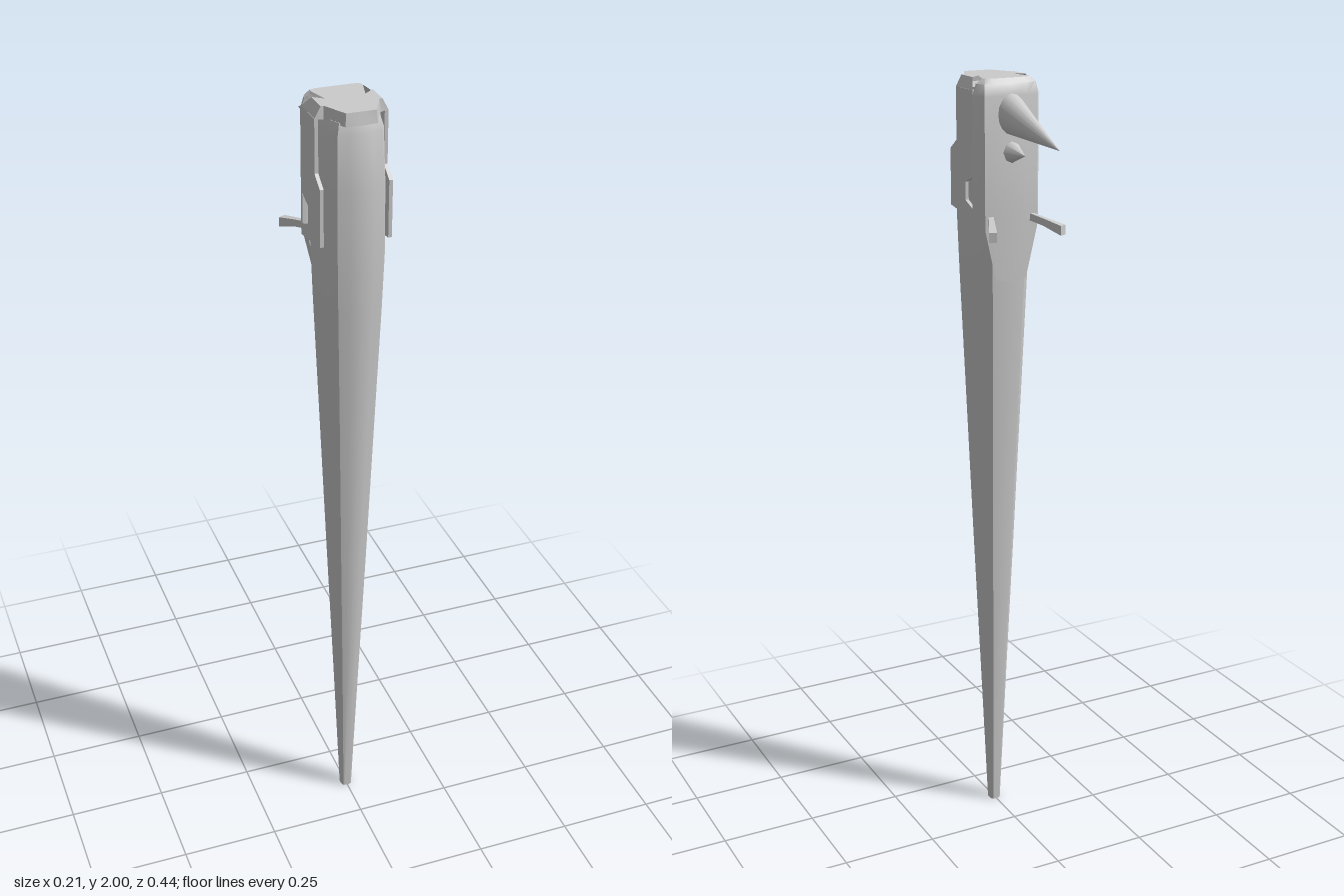
import * as THREE from 'three';
import { toCreasedNormals } from 'three/addons/utils/BufferGeometryUtils.js';

const material = new THREE.MeshStandardMaterial({ color: 0xcccccc, side: THREE.DoubleSide });

// Skin a surface over rows of [x, y, z] points
function loft(rows, closed = false, crease = 0.6) {
  const n = rows[0].length, index = [];
  const geo = new THREE.BufferGeometry();
  geo.setAttribute('position', new THREE.Float32BufferAttribute(rows.flat(2), 3));
  for (let i = 0; i < rows.length - 1; i++) {
    for (let j = 0; j < (closed ? n : n - 1); j++) {
      const k = (j + 1) % n, a = i * n + j, b = i * n + k;
      index.push(a, b, b + n, a, b + n, a + n);
    }
  }
  geo.setIndex(index);
  return toCreasedNormals(geo, crease);
}

// Complete a half row that starts on +x and ends on the centre line
const mirrorRow = (half) => [...half, ...half.slice(0, -1).reverse().map(([x, ...r]) => [-x, ...r])];

// Cone from an elliptical base in the xy plane to a tip
function spike(y, z, rx, ry, tip, sides) {
  const ring = (r) => Array.from({ length: sides }, (_, i) => {
    const a = (i / sides) * Math.PI * 2 + Math.PI / 2;
    return [rx * r * Math.cos(a), y + ry * r * Math.sin(a), z];
  });
  return loft([ring(0), ring(1), ring(1).map(() => tip)], true, 0.9);
}

export function createModel() {
  const model = new THREE.Group();
  const add = (name, geo) => {
    const mesh = new THREE.Mesh(geo, material);
    mesh.name = name;
    model.add(mesh);
  };

  // Tapering body: unit section, scaled to [y, half width, back z, front z]
  const half = [[0, 1], [0.38, 0.95], [0.72, 0.87], [0.88, 0.6], [1, 0.2], [0.98, -0.3], [0.86, -0.7], [0.6, -0.93], [0, -1]];
  const section = [...half, ...half.slice(1, -1).reverse().map(([x, z]) => [-x, z])];
  const levels = [
    [0, 0, 0.128, 0.128], [0, 0.015, 0.111, 0.145], [0.4, 0.03, 0.088, 0.165], [0.8, 0.046, 0.065, 0.184],
    [1.2, 0.061, 0.042, 0.202], [1.5, 0.073, 0.026, 0.215], [1.65, 0.078, 0.02, 0.22], [1.82, 0.077, 0.02, 0.216],
    [1.95, 0.073, 0.022, 0.207], [1.975, 0.065, 0.03, 0.198], [1.975, 0, 0.12, 0.12],
  ];
  add('body', loft(levels.map(([y, w, back, front]) =>
    section.map(([x, z]) => [x * w, y, (front + back) / 2 + z * (front - back) / 2])), true));

  // Back of the head shell with its hanging flap, inner lip first, then up to the roof
  const plan = [[0.087, 0.05], [0.083, 0.034], [0.071, 0.017], [0.042, 0.013], [0, 0.012]];
  const inset = [[0.062, 0.047], [0.061, 0.04], [0.06, 0.035], [0.045, 0.03], [0, 0.03]];
  const hem = [1.66, 1.655, 1.64, 1.515, 1.505];
  const hemRow = plan.map(([x, z], i) => [x, hem[i], z + (i > 2 ? 0.006 : 0)]);
  add('backShell', loft([
    hemRow.map(([x, y, z]) => [x * 0.9, y, z + 0.01]),
    hemRow,
    plan.map(([x, z]) => [x, 1.68, z]),
    plan.map(([x, z]) => [x, 1.96, z]),
    plan.map(([x, z], i) => [x * 0.65 + inset[i][0] * 0.35, 1.988, z * 0.65 + inset[i][1] * 0.35]),
    inset.map(([x, z]) => [x, 2, z]),
  ].map(mirrorRow)));

  // Flat roof with a pointed notch on each side
  const roofHalf = [[0, 0.03], [0.045, 0.03], [0.06, 0.035], [0.062, 0.047], [0.047, 0.1], [0.072, 0.08],
    [0.072, 0.14], [0.065, 0.14], [0.035, 0.2], [0, 0.2]];
  const roofPoints = [...roofHalf, ...roofHalf.slice(1, -1).reverse().map(([x, z]) => [-x, z])];
  const roof = new THREE.ShapeGeometry(new THREE.Shape(roofPoints.map(([x, z]) => new THREE.Vector2(x, -z))));
  add('roof', roof.rotateX(-Math.PI / 2).translate(0, 2, 0));

  // Lip around the front of the roof
  add('roofLip', loft([
    mirrorRow([[0.087, 1.972, 0.14], [0.067, 1.97, 0.143], [0.038, 1.97, 0.203], [0, 1.97, 0.206]]),
    mirrorRow([[0.072, 2, 0.14], [0.065, 2, 0.14], [0.035, 2, 0.2], [0, 2, 0.2]]),
  ], false, 0.3));

  // Cheek plate outline in (z, y), with a trapezoid window
  const v = ([z, y]) => new THREE.Vector2(z, y);
  const cheek = new THREE.Shape([[0.05, 1.66], [0.175, 1.68], [0.175, 1.82], [0.14, 1.845], [0.14, 1.973], [0.05, 1.973]].map(v));
  cheek.holes.push(new THREE.Path([[0.055, 1.69], [0.055, 1.765], [0.093, 1.75], [0.093, 1.705]].map(v)));

  for (const [side, s] of [['left', 1], ['right', -1]]) {
    const plate = new THREE.ExtrudeGeometry(cheek, { depth: 0.009, bevelEnabled: false });
    plate.rotateY(-Math.PI / 2).translate(s > 0 ? 0.087 : -0.078, 0, 0);
    add(side + 'CheekPlate', plate);

    // Sloping edge between cheek and roof
    add(side + 'RoofBevel', loft([
      [[s * 0.087, 1.972, 0.05], [s * 0.087, 1.972, 0.14]],
      [[s * 0.072, 2, 0.08], [s * 0.072, 2, 0.14]],
    ]));

    // Flared spur, a four-sided bar that widens to its end
    const rect = (x, y, z, w, h) => [[-1, -1], [1, -1], [1, 1], [-1, 1]].map(([a, b]) =>
      [s * (x + a * w * 0.9), y + b * h, z + a * w * 0.43]);
    add(side + 'Spur', loft([
      rect(0.052, 1.666, 0.025, 0.006, 0.009), rect(0.072, 1.657, -0.022, 0.007, 0.009),
      rect(0.095, 1.643, -0.073, 0.0095, 0.012), rect(0.095, 1.643, -0.073, 0, 0),
    ], true, 0.4));
  }

  // Horns on the back of the head
  add('largeHorn', spike(1.918, 0.02, 0.038, 0.05, [0, 1.862, -0.225], 16));
  add('smallHorn', spike(1.826, 0.02, 0.026, 0.029, [0, 1.826, -0.055], 8));
  return model;
}
